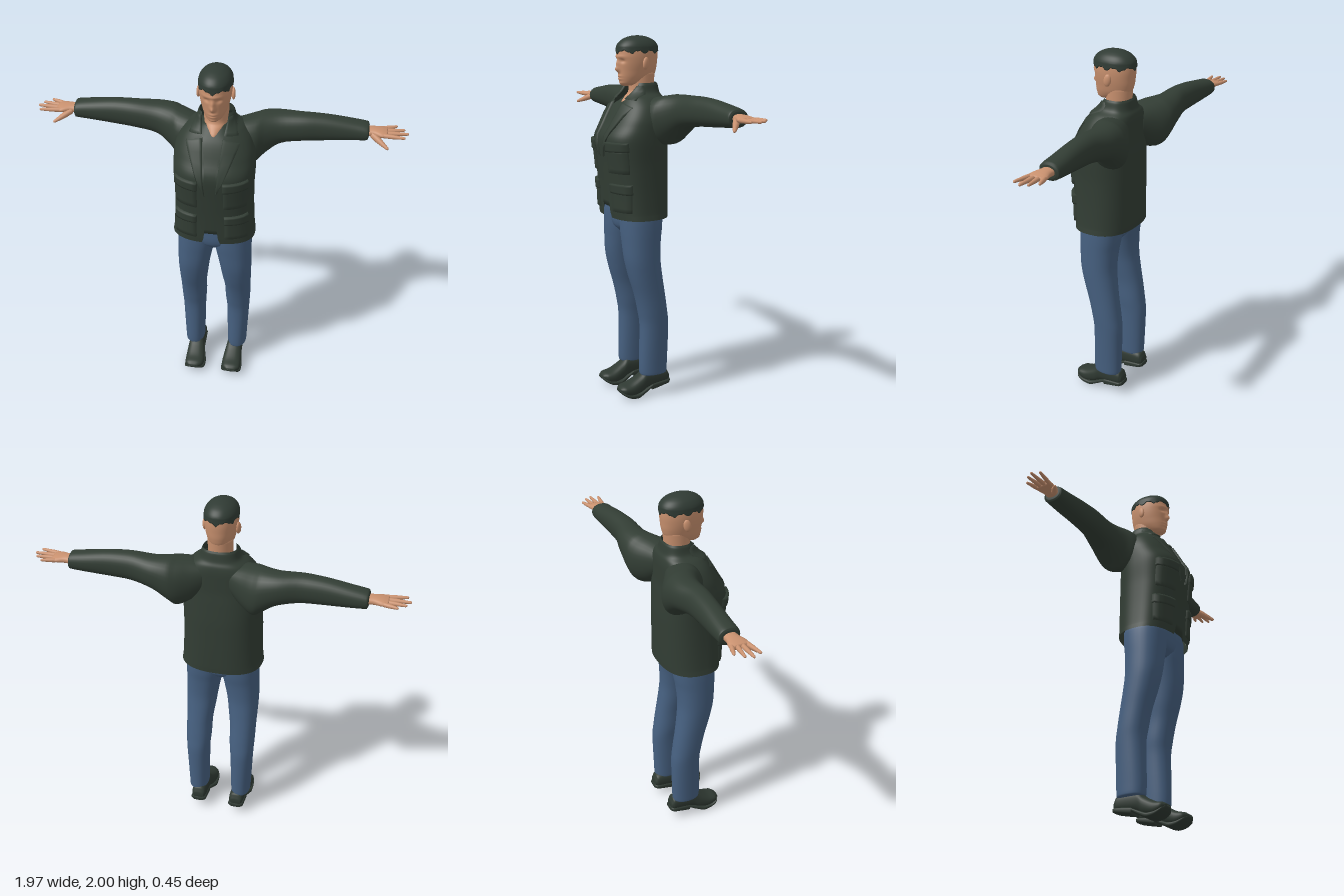
import * as THREE from 'three';

const paint = (name, color, side = THREE.FrontSide) => {
  const m = new THREE.MeshStandardMaterial({ color, side });
  m.name = name;
  return m;
};

// Monotone interpolation of cross-sections [t, a0, a1, b0, b1, widest b, front gap]
function refine(rings, steps) {
  const r = rings.map(([t, a0, a1, b0, b1, bc = (b0 + b1) / 2, gap = 0]) => [t, a0, a1, b0, b1, bc, gap]);
  const slope = (i, k) => {
    if (i === 0 || i === r.length - 1) return 0;
    const d0 = r[i][k] - r[i - 1][k], d1 = r[i + 1][k] - r[i][k];
    if (d0 * d1 <= 0) return 0;
    return Math.sign(d0) * Math.min(Math.abs(d0 + d1) / 2, 2 * Math.abs(d0), 2 * Math.abs(d1));
  };
  const out = [];
  for (let i = 0; i < r.length - 1; i++) {
    for (let s = 0; s < steps; s++) {
      const u = s / steps, u2 = u * u, u3 = u2 * u;
      out.push(r[i].map((v, k) => i === 0 || i === r.length - 2
        ? v + (r[i + 1][k] - v) * u
        : (2 * u3 - 3 * u2 + 1) * v + (u3 - 2 * u2 + u) * slope(i, k)
          + (3 * u2 - 2 * u3) * r[i + 1][k] + (u3 - u2) * slope(i + 1, k)));
    }
  }
  out.push(r[r.length - 1]);
  return out;
}

const spow = (v, p) => Math.sign(v) * Math.abs(v) ** p;

// Skin rounded cross-sections stacked along an axis
function loft(rings, { axis = 'y', n = 32, steps = 4, p = 0.9, caps = true, open = false, shape } = {}) {
  const rows = refine(rings, steps), pos = [], idx = [];
  const cols = open ? n + 1 : n;
  const put = (a, t, b) => {
    const v = axis === 'y' ? [a, t, b] : axis === 'x' ? [t, a, b] : [a, b, t];
    if (shape) shape(v);
    pos.push(...v);
  };
  const tri = (a, b, c) => (axis === 'y' ? idx.push(a, b, c) : idx.push(a, c, b));
  for (const [t, a0, a1, b0, b1, bc, gap] of rows) {
    const rx = (a1 - a0) / 2, cx = (a0 + a1) / 2;
    const d = open ? Math.asin((gap / rx) ** (1 / p)) : 0;
    for (let j = 0; j < cols; j++) {
      const f = d + (j / n) * (2 * Math.PI - 2 * d), c = spow(Math.cos(f), p);
      put(cx + rx * spow(Math.sin(f), p), t, bc + c * (c > 0 ? b1 - bc : bc - b0));
    }
  }
  for (let i = 0; i < rows.length - 1; i++) {
    for (let j = 0; j < n; j++) {
      const k = (j + 1) % cols, a = i * cols, b = a + cols;
      tri(a + j, a + k, b + j);
      tri(a + k, b + k, b + j);
    }
  }
  if (caps && !open) {
    for (const [i, top] of [[0, false], [rows.length - 1, true]]) {
      const r = rows[i], c = pos.length / 3;
      put((r[1] + r[2]) / 2, r[0], r[5]);
      for (let j = 0; j < n; j++) {
        const a = i * cols + j, b = i * cols + (j + 1) % n;
        top ? tri(c, a, b) : tri(c, b, a);
      }
    }
  }
  return build(pos, idx);
}

function build(pos, idx) {
  const g = new THREE.BufferGeometry();
  g.setAttribute('position', new THREE.Float32BufferAttribute(pos, 3));
  g.setIndex(idx);
  g.computeVertexNormals();
  return g;
}

function mirrored(geo) {
  const g = geo.clone().scale(-1, 1, 1), ix = g.index;
  for (let i = 0; i < ix.count; i += 3) {
    const b = ix.getX(i + 1);
    ix.setX(i + 1, ix.getX(i + 2));
    ix.setX(i + 2, b);
  }
  return g;
}

// Tapered finger with a rounded tip
function finger(from, to, r0, r1) {
  const a = new THREE.Vector3(...from), d = new THREE.Vector3(...to).sub(a), l = d.length();
  const pts = [[r0, 0], [r0 * 0.95, l * 0.4], [r1, l - r1], [r1 * 0.7, l - r1 * 0.3], [0, l]];
  const g = new THREE.LatheGeometry(pts.map(q => new THREE.Vector2(...q)), 12);
  g.applyQuaternion(new THREE.Quaternion().setFromUnitVectors(new THREE.Vector3(0, 1, 0), d.normalize()));
  return g.translate(...from);
}

const JP = 0.8;
const jacketRings = [
  [1.03, -.225, .225, -.148, .172, .03, .05], [1.06, -.22, .22, -.15, .176, .03, .04],
  [1.2, -.212, .212, -.152, .187, .03, .028], [1.32, -.21, .21, -.152, .2, .03, .024],
  [1.45, -.215, .215, -.146, .213, .03, .026], [1.54, -.213, .213, -.14, .17, 0, .034],
  [1.62, -.19, .19, -.14, .125, -.02, .048], [1.67, -.15, .15, -.135, .095, -.03, .058],
  [1.70, -.108, .108, -.122, .066, -.035, .065], [1.742, -.094, .094, -.113, .036, -.035, .068],
  [1.752, -.088, .088, -.107, .03, -.035, .068],
];
const jacketRows = refine(jacketRings, 6);

// Depth of the jacket front at x, y
function jacketZ(x, y) {
  let i = 0;
  while (i < jacketRows.length - 2 && jacketRows[i + 1][0] < y) i++;
  const A = jacketRows[i], B = jacketRows[i + 1];
  const r = A.map((v, k) => v + (B[k] - v) * (y - A[0]) / (B[0] - A[0]));
  const s = Math.min(0.97, Math.abs(x) / r[2]) ** (1 / JP);
  return r[5] + (r[4] - r[5]) * Math.sqrt(1 - s * s) ** JP;
}

// Raised cloth panel on the jacket: corners run inner top, outer top, outer bottom, inner bottom
function panel([A, B, C, D], lift) {
  const st = [0, .025, .2, .4, .6, .8, .975, 1], n = st.length, pos = [], idx = [];
  st.forEach((v, i) => st.forEach((u, j) => {
    const [x, y] = [0, 1].map(k => (A[k] * (1 - u) + B[k] * u) * (1 - v) + (D[k] * (1 - u) + C[k] * u) * v);
    const h = i % (n - 1) && j % (n - 1) ? lift : -.004;
    pos.push(x + h * 2.5 * x, y, jacketZ(x, y) + h);
    if (i && j) {
      const q = i * n + j;
      idx.push(q - n - 1, q - 1, q - n, q - n, q - 1, q);
    }
  }));
  return build(pos, idx);
}

const bump = (v, c, w) => Math.exp(-(((v - c) / w) ** 2));

// Nose, brow, eye sockets, lips and chin
function sculptFace(v) {
  const [x, y, z] = v;
  if (z < 0.03) return;
  v[2] += bump(x, 0, .012) * (.02 * bump(y, 1.822, .015) + .012 * bump(y, 1.85, .022))
    + .005 * bump(y, 1.889, .009) * bump(x, 0, .05)
    - .009 * bump(Math.abs(x), .032, .015) * bump(y, 1.867, .011)
    + .006 * bump(x, 0, .02) * (bump(y, 1.787, .006) + bump(y, 1.771, .006))
    + .005 * bump(x, 0, .022) * bump(y, 1.748, .012);
}

// Jagged hairline
function cutHair(v) {
  const w = Math.min(1, Math.max(0, (1.945 - v[1]) / .04));
  const f = Math.atan2(v[0], v[2] + .01);
  v[1] += w * (.018 * Math.abs(Math.sin(f * 4)) + .006 * Math.sin(f * 11) ** 2);
}

export function createModel() {
  const root = new THREE.Group();
  root.name = 'standingMan';
  const skin = paint('skin', 0xc9916f);
  const cloth = paint('darkCloth', 0x323d34, THREE.DoubleSide);
  const denim = paint('denim', 0x466080);
  const leather = paint('shoeLeather', 0x2f3932);
  const hairMat = paint('hair', 0x303b34);

  const add = (name, geo, mat) => {
    const m = new THREE.Mesh(geo, mat);
    m.name = name;
    root.add(m);
  };
  const pair = (name, geo, mat) => {
    add('left' + name, geo, mat);
    add('right' + name, mirrored(geo), mat);
  };

  // Head, neck, ears and hair
  add('head', loft([
    [1.735, -.02, .02, .02, .078, .05], [1.748, -.042, .042, -.03, .09, .03], [1.78, -.062, .062, -.1, .098, .0],
    [1.82, -.074, .074, -.116, .101, -.01], [1.86, -.082, .082, -.121, .105, -.01], [1.9, -.085, .085, -.124, .108, -.01],
    [1.94, -.082, .082, -.122, .104, -.01], [1.97, -.066, .066, -.1, .08, -.01], [1.99, -.03, .03, -.05, .035, -.01],
  ], { n: 120, steps: 9, p: 0.95, shape: sculptFace }), skin);
  add('neck', loft([
    [1.62, -.01, .01, -.06, .07], [1.645, -.03, .03, -.08, .086], [1.68, -.058, .058, -.1, .06],
    [1.715, -.064, .064, -.102, .036], [1.82, -.066, .066, -.11, .04],
  ], { p: 1 }), skin);
  const ear = new THREE.SphereGeometry(1, 16, 12).scale(.011, .033, .02).rotateX(-.15).rotateY(.25);
  pair('Ear', ear.translate(.088, 1.855, -.016), skin);
  add('hair', loft([
    [1.9, -.088, .088, -.128, .112, -.01], [1.94, -.086, .086, -.126, .109, -.01], [1.97, -.071, .071, -.106, .088, -.01],
    [1.988, -.047, .047, -.074, .056, -.01], [1.997, -.022, .022, -.04, .022, -.01], [2, -.002, .002, -.012, -.008, -.01],
  ], { n: 96, steps: 6, p: 0.95, shape: cutHair }), hairMat);

  // Jacket, shirt and sleeves
  add('jacket', loft(jacketRings, { n: 64, steps: 6, p: JP, open: true }), cloth);
  const inner = jacketRings.slice(2, 7).map(([t, a0, a1, b0, b1, bc]) => [t, a0 + .02, a1 - .02, b0 + .02, b1 - .014, bc]);
  add('shirt', loft([
    [1.085, -.19, .19, -.13, .162, .03], ...inner,
    [1.66, -.1, .1, -.115, .072, -.03], [1.69, -.07, .07, -.1, .035, -.03],
  ], { n: 48, p: JP }), cloth);
  pair('Sleeve', loft([
    [.06, 1.53, 1.66, -.13, -.02], [.13, 1.46, 1.68, -.175, .03], [.2, 1.43, 1.693, -.215, .02],
    [.25, 1.468, 1.7, -.225, -.02], [.33, 1.525, 1.7, -.22, -.055], [.45, 1.55, 1.704, -.196, -.065],
    [.55, 1.558, 1.7, -.195, -.075], [.7, 1.57, 1.68, -.2, -.085], [.775, 1.578, 1.666, -.2, -.088],
    [.781, 1.59, 1.654, -.186, -.1],
  ], { axis: 'x' }), cloth);

  // Collar leaves, lapels and pockets
  pair('CollarLeaf', panel([[.07, 1.738], [.09, 1.738], [.128, 1.662], [.056, 1.668]], .008), cloth);
  pair('Lapel', panel([[.053, 1.655], [.14, 1.63], [.05, 1.42], [.027, 1.36]], .009), cloth);
  pair('ChestPocket', panel([[.068, 1.42], [.187, 1.42], [.185, 1.28], [.068, 1.28]], .01), cloth);
  pair('ChestPocketFlap', panel([[.064, 1.45], [.19, 1.45], [.19, 1.4], [.064, 1.395]], .016), cloth);
  pair('LowerPocket', panel([[.075, 1.2], [.19, 1.2], [.192, 1.07], [.075, 1.07]], .01), cloth);
  pair('LowerPocketFlap', panel([[.071, 1.225], [.192, 1.225], [.193, 1.17], [.071, 1.175]], .016), cloth);

  // Hands
  pair('Palm', loft([
    [.75, 1.6, 1.645, -.18, -.11], [.8, 1.602, 1.645, -.178, -.107], [.85, 1.606, 1.64, -.19, -.09],
    [.876, 1.611, 1.634, -.186, -.094],
  ], { axis: 'x', n: 24 }), skin);
  [[-.177, .928, -.203], [-.153, .966, -.168], [-.128, .985, -.132], [-.104, .967, -.088]].forEach(([z, x, z1], i) =>
    pair('Finger' + (i + 1), finger([.855, 1.622, z], [x, 1.626, z1], .012, .007), skin));
  pair('Thumb', finger([.8, 1.615, -.118], [.885, 1.575, -.05], .017, .008), skin);

  // Jeans
  add('jeansSeat', loft([
    [.935, -.05, .05, -.05, .09], [.97, -.12, .12, -.085, .122], [1.03, -.17, .17, -.095, .132], [1.13, -.17, .17, -.09, .13],
  ]), denim);
  pair('JeansLeg', loft([
    [.125, .085, .172, -.11, .028], [.13, .074, .182, -.122, .036], [.2, .071, .186, -.126, .04],
    [.4, .066, .195, -.13, .036], [.5, .058, .2, -.12, .048], [.6, .055, .202, -.105, .07],
    [.7, .042, .205, -.09, .1], [.8, .028, .207, -.08, .122], [.9, .008, .206, -.085, .13],
    [.97, -.006, .205, -.095, .134], [1.05, -.01, .2, -.1, .135], [1.12, -.01, .17, -.09, .125],
  ]), denim);

  // Shoes, pitched toe-down
  pair('ShoeUpper', loft([
    [-.14, .085, .145, .075, .11], [-.125, .075, .155, .06, .14], [-.06, .072, .158, .05, .15],
    [0, .07, .16, .04, .15], [.04, .062, .165, .02, .12], [.1, .055, .168, .01, .088],
    [.145, .065, .163, .03, .077], [.165, .09, .14, .05, .065],
  ], { axis: 'z', p: 0.8 }), leather);
  pair('ShoeSole', loft([
    [-.145, .085, .145, .057, .08], [-.13, .07, .16, .052, .08], [-.03, .07, .16, .03, .07],
    [-.025, .07, .16, .045, .065], [.02, .062, .165, .02, .045], [.07, .05, .172, 0, .028],
    [.11, .05, .172, .006, .03], [.15, .062, .165, .028, .045], [.167, .09, .14, .045, .058],
  ], { axis: 'z', p: 0.55 }), leather);

  return root;
}
